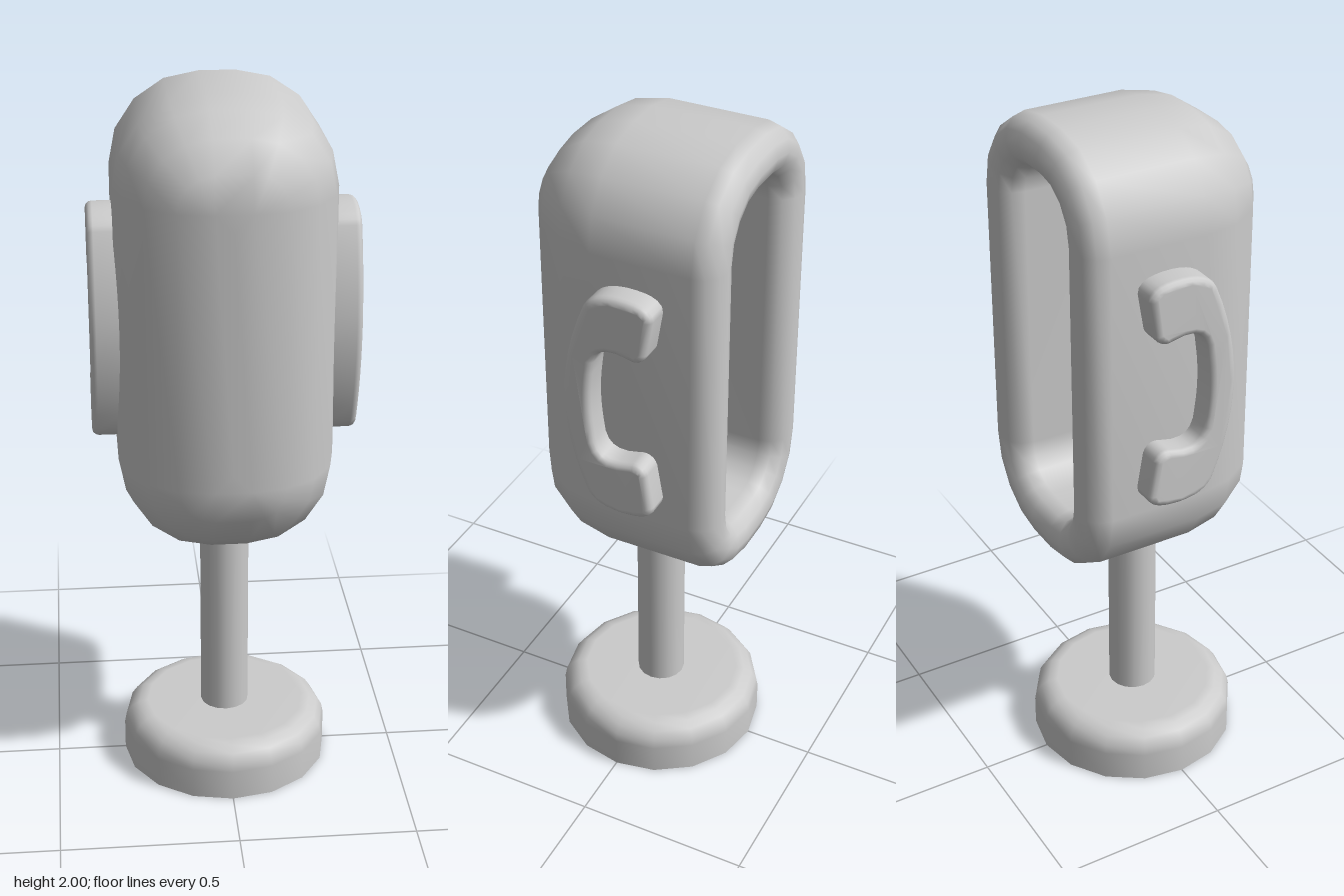
import * as THREE from 'three';
import { mergeVertices } from 'three/addons/utils/BufferGeometryUtils.js';
import { RoundedBoxGeometry } from 'three/addons/geometries/RoundedBoxGeometry.js';

const MID_Y = 1.365;
const material = new THREE.MeshStandardMaterial({ color: 0xcccccc });

function addMesh(parent, name, geometry) {
  const mesh = new THREE.Mesh(geometry, material);
  mesh.name = name;
  parent.add(mesh);
  return mesh;
}

// Rounded rectangle, shrunk by inset, counter-clockwise seen from the front
function ring(z, inset) {
  const hx = Math.max(0.3 - inset, 0), hy = 0.635 - inset;
  const r = Math.max(0.25 - inset, 0);
  const points = [];
  for (let corner = 0; corner < 4; corner++) {
    const sx = corner === 0 || corner === 3 ? 1 : -1;
    const sy = corner < 2 ? 1 : -1;
    for (let k = 0; k <= 4; k++) {
      const a = (corner + k / 4) * Math.PI / 2;
      points.push([sx * (hx - r) + r * Math.cos(a), sy * (hy - r) + r * Math.sin(a), z]);
    }
  }
  return points;
}

// Skin a stack of equal-length closed loops
function loft(rings) {
  const n = rings[0].length, index = [];
  for (let i = 0; i < rings.length - 1; i++) {
    for (let j = 0; j < n; j++) {
      const k = (j + 1) % n;
      const a = i * n + j, b = i * n + k, c = a + n, d = b + n;
      index.push(a, c, b, b, c, d);
    }
  }
  const geometry = new THREE.BufferGeometry();
  geometry.setAttribute('position', new THREE.Float32BufferAttribute(rings.flat(2), 3));
  geometry.setIndex(index);
  const merged = mergeVertices(geometry, 1e-4);
  merged.computeVertexNormals();
  return merged;
}

// Hollow hood: domed front, rolled rim at the back, rounded cavity
function hoodGeometry() {
  const sections = [[0.3, 0.3]];
  const arc = (z, inset, r, from, to, steps) => {
    for (let i = 0; i <= steps; i++) {
      const a = from + (to - from) * i / steps;
      sections.push([z + r * Math.sin(a), inset - r * Math.cos(a)]);
    }
  };
  arc(0.05, 0.25, 0.25, Math.PI / 2, 0, 4);
  arc(-0.23, 0.07, 0.07, 0, -Math.PI, 6);
  arc(0.05, 0.25, 0.11, 0, Math.PI / 2, 4);
  sections.push([0.16, 0.3]);
  return loft(sections.map(([z, inset]) => ring(z, inset)));
}

// C-shaped handset outline in (-z, y), extruded sideways with soft edges
function handsetGeometry() {
  const bevel = 0.018;
  const s = new THREE.Shape();
  s.moveTo(-0.082, 0);
  s.quadraticCurveTo(-0.08, 0.14, -0.022, 0.275);
  s.quadraticCurveTo(-0.005, 0.31, 0.06, 0.312);
  s.quadraticCurveTo(0.14, 0.312, 0.138, 0.285);
  s.lineTo(0.122, 0.19);
  s.quadraticCurveTo(0.115, 0.17, 0.095, 0.178);
  s.quadraticCurveTo(-0.03, 0.215, -0.035, 0.09);
  s.quadraticCurveTo(-0.048, 0, -0.035, -0.09);
  s.quadraticCurveTo(-0.03, -0.215, 0.095, -0.178);
  s.quadraticCurveTo(0.115, -0.17, 0.122, -0.19);
  s.lineTo(0.138, -0.285);
  s.quadraticCurveTo(0.14, -0.312, 0.06, -0.312);
  s.quadraticCurveTo(-0.005, -0.31, -0.022, -0.275);
  s.quadraticCurveTo(-0.08, -0.14, -0.082, 0);
  const geometry = new THREE.ExtrudeGeometry(s, {
    depth: 0.064, bevelEnabled: true, bevelThickness: bevel,
    bevelSize: bevel, bevelSegments: 3, curveSegments: 6,
  });
  geometry.deleteAttribute('uv');
  geometry.deleteAttribute('normal');
  geometry.translate(0, 0, -0.032);
  geometry.rotateY(Math.PI / 2);
  const merged = mergeVertices(geometry, 1e-4);
  merged.computeVertexNormals();
  return merged;
}

export function createModel() {
  const model = new THREE.Group();
  model.name = 'phoneBooth';

  // Round foot with a softened top edge
  const profile = [new THREE.Vector2(0, 0), new THREE.Vector2(0.3, 0), new THREE.Vector2(0.3, 0)];
  for (let i = 0; i <= 4; i++) {
    const a = i * Math.PI / 8;
    profile.push(new THREE.Vector2(0.23 + 0.07 * Math.cos(a), 0.09 + 0.07 * Math.sin(a)));
  }
  profile.push(new THREE.Vector2(0, 0.16));
  addMesh(model, 'base', new THREE.LatheGeometry(profile, 16));

  // Post
  const post = addMesh(model, 'post', new THREE.CylinderGeometry(0.07, 0.07, 0.62, 16));
  post.position.y = 0.45;

  // Hood
  const hood = addMesh(model, 'hood', hoodGeometry());
  hood.position.y = MID_Y;

  // Telephone unit inside the hood
  const unit = addMesh(model, 'telephoneUnit', new RoundedBoxGeometry(0.29, 0.65, 0.25, 3, 0.08));
  unit.position.set(0, 1.285, 0.055);

  // Relief handsets on both sides
  const handset = handsetGeometry();
  for (const side of [-1, 1]) {
    const mesh = addMesh(model, side > 0 ? 'leftHandset' : 'rightHandset', handset);
    mesh.position.set(side * 0.32, 1.352, 0);
  }
  return model;
}
